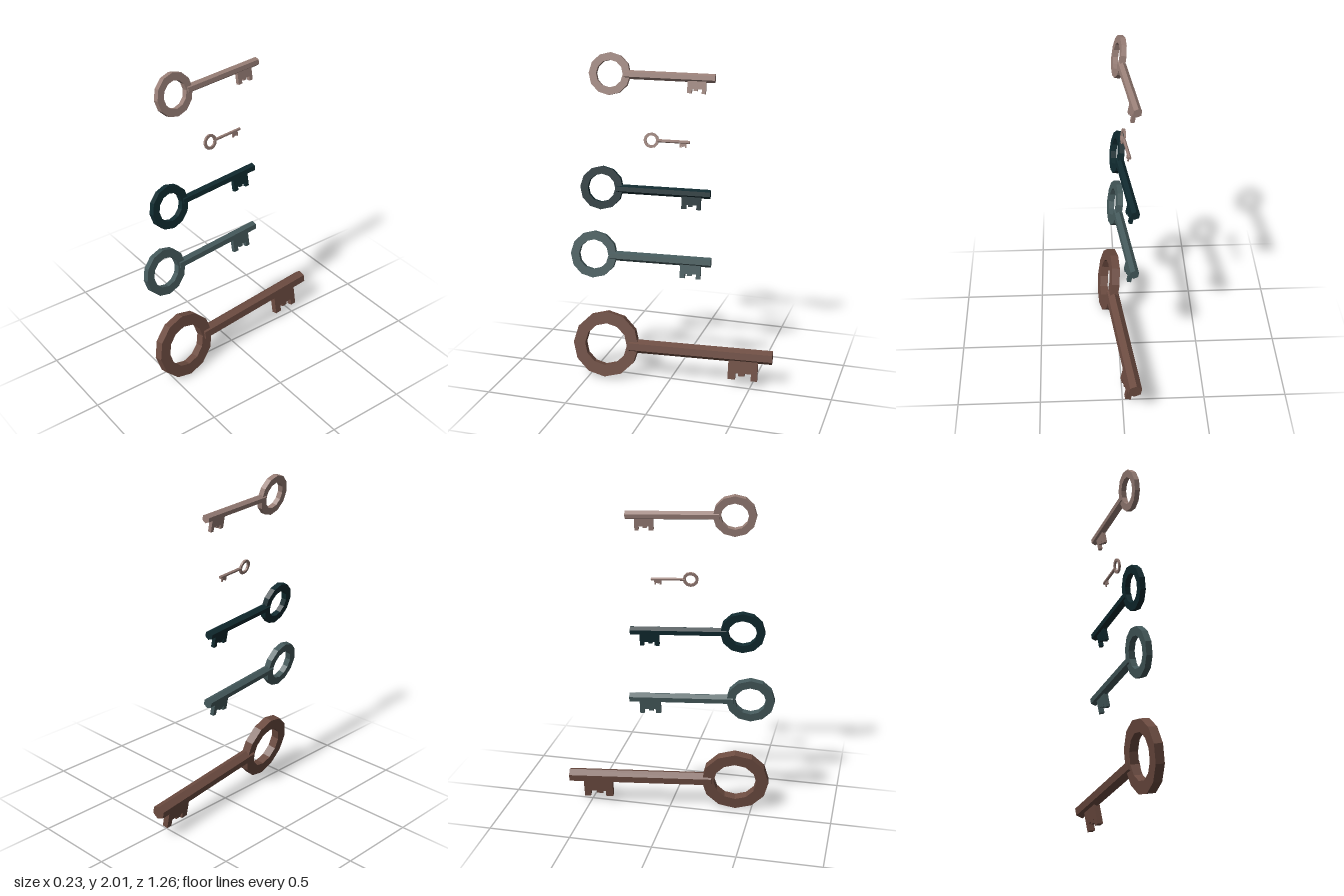
import * as THREE from 'three';

// Closed polygon of n points around the origin
function polygon(Type, radius, n) {
  const points = [];
  for (let i = 0; i < n; i++) {
    const a = (i / n) * Math.PI * 2;
    points.push(new THREE.Vector2(Math.cos(a) * radius, Math.sin(a) * radius));
  }
  return new Type(points);
}

// Flat plate drawn in the (z, y) plane, with its thickness centred on x = 0
function plate(shape, thickness) {
  const geometry = new THREE.ExtrudeGeometry(shape, { depth: thickness, bevelEnabled: false });
  geometry.translate(0, 0, -thickness / 2);
  geometry.rotateY(-Math.PI / 2);
  return geometry;
}

// Twelve-sided ring handle
function bowGeometry() {
  const shape = polygon(THREE.Shape, 0.205, 12);
  shape.holes.push(polygon(THREE.Path, 0.132, 12));
  return plate(shape, 0.052);
}

// Hexagonal rod running back from the ring
function shaftGeometry() {
  const start = -0.145, end = -1.03;
  const geometry = new THREE.CylinderGeometry(0.043, 0.043, start - end, 6);
  geometry.rotateX(Math.PI / 2);
  geometry.translate(0, 0, (start + end) / 2);
  return geometry;
}

// Notched plate hanging under the far end of the rod
function bitGeometry() {
  const outline = [
    [-0.765, 0], [-0.945, 0], [-0.945, -0.152], [-0.907, -0.152], [-0.907, -0.11],
    [-0.867, -0.11], [-0.867, -0.127], [-0.828, -0.127], [-0.828, -0.11],
    [-0.81, -0.11], [-0.81, -0.15], [-0.765, -0.15],
  ];
  return plate(new THREE.Shape(outline.map(([z, y]) => new THREE.Vector2(z, y))), 0.035);
}

export function createModel() {
  const model = new THREE.Group();
  model.name = 'floatingKeys';

  const parts = { bow: bowGeometry(), shaft: shaftGeometry(), bit: bitGeometry() };

  // Ring centre, size and colour of each key, from bottom to top
  const keys = [
    { name: 'largeBrownKey', at: [0.05, 0.208, 0.4], size: 1, color: 0x6d4c41 },
    { name: 'greyKey', at: [0.003, 0.772, 0.488], size: 0.7, color: 0x455a5c },
    { name: 'darkKey', at: [-0.008, 1.196, 0.433], size: 0.637, color: 0x102a2f },
    { name: 'tinyKey', at: [-0.03, 1.502, 0.128], size: 0.222, color: 0x9a8078 },
    { name: 'paleBrownKey', at: [-0.016, 1.884, 0.374], size: 0.6, color: 0x9a8078 },
  ];

  for (const { name, at, size, color } of keys) {
    const key = new THREE.Group();
    key.name = name;
    const material = new THREE.MeshStandardMaterial({ color, flatShading: true });
    for (const [part, geometry] of Object.entries(parts)) {
      const mesh = new THREE.Mesh(geometry, material);
      mesh.name = part;
      key.add(mesh);
    }
    // All keys share the same slight turn, dip and lean
    key.rotation.set(-0.016, 0.118, 0.19, 'YXZ');
    key.position.set(...at);
    key.scale.setScalar(size);
    model.add(key);
  }
  return model;
}
